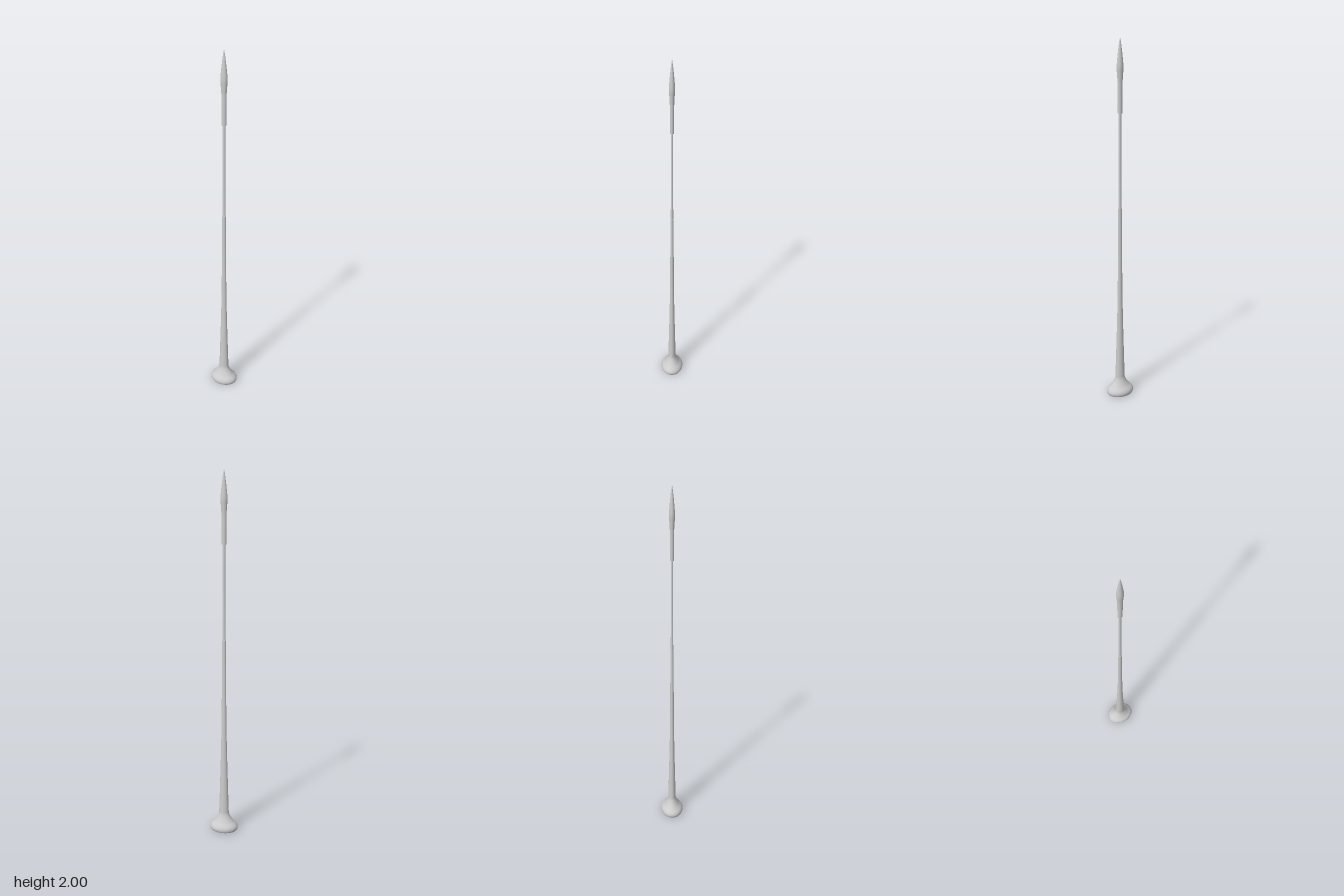
import * as THREE from 'three';

const DEPTH = 0.8; // every cross-section is an ellipse, narrower in z
const material = new THREE.MeshStandardMaterial({ color: 0xcccccc });

// Elliptical turned part from [radius, height] pairs, listed upwards
function turned(name, profile, smooth = false) {
  let points = profile.map(([r, y]) => new THREE.Vector2(r, y));
  if (smooth) points = new THREE.SplineCurve(points).getPoints(32);
  const geometry = new THREE.LatheGeometry(points, 48);
  geometry.scale(1, 1, DEPTH);
  const mesh = new THREE.Mesh(geometry, material);
  mesh.name = name;
  return mesh;
}

// Flat elliptical face closing a part or forming a step
function cap(name, radius, y, facing) {
  const geometry = new THREE.CircleGeometry(radius, 48);
  geometry.rotateX(-facing * Math.PI / 2);
  geometry.scale(1, 1, DEPTH);
  geometry.translate(0, y, 0);
  const mesh = new THREE.Mesh(geometry, material);
  mesh.name = name;
  return mesh;
}

export function createModel() {
  const group = new THREE.Group();
  group.name = 'taperedSpire';

  // Flared foot
  group.add(
    cap('footUnderside', 0.074, 0, -1),
    turned('flaredFoot', [
      [0.074, 0], [0.079, 0.008], [0.08, 0.02], [0.073, 0.034],
      [0.055, 0.052], [0.04, 0.073], [0.031, 0.092], [0.028, 0.105],
    ], true),
  );

  // Long tapering shaft, stepping down to a thin rod
  group.add(
    turned('lowerShaft', [[0.028, 0.105], [0.024, 0.23], [0.019, 0.4], [0.015, 0.56], [0.0125, 0.76], [0.011, 1.11]]),
    cap('shaftStep', 0.011, 1.11, 1),
    turned('thinRod', [[0.0085, 1.11], [0.0075, 1.34], [0.0075, 1.62]]),
  );

  // Thicker collar below the point
  group.add(
    cap('collarUnderside', 0.0125, 1.62, -1),
    turned('collar', [[0.0125, 1.62], [0.0135, 1.78]]),
  );

  // Leaf-shaped point
  group.add(turned('point', [
    [0.0135, 1.78], [0.0165, 1.82], [0.0185, 1.85], [0.0165, 1.88], [0.011, 1.93], [0.005, 1.975], [0, 2],
  ], true));

  return group;
}
